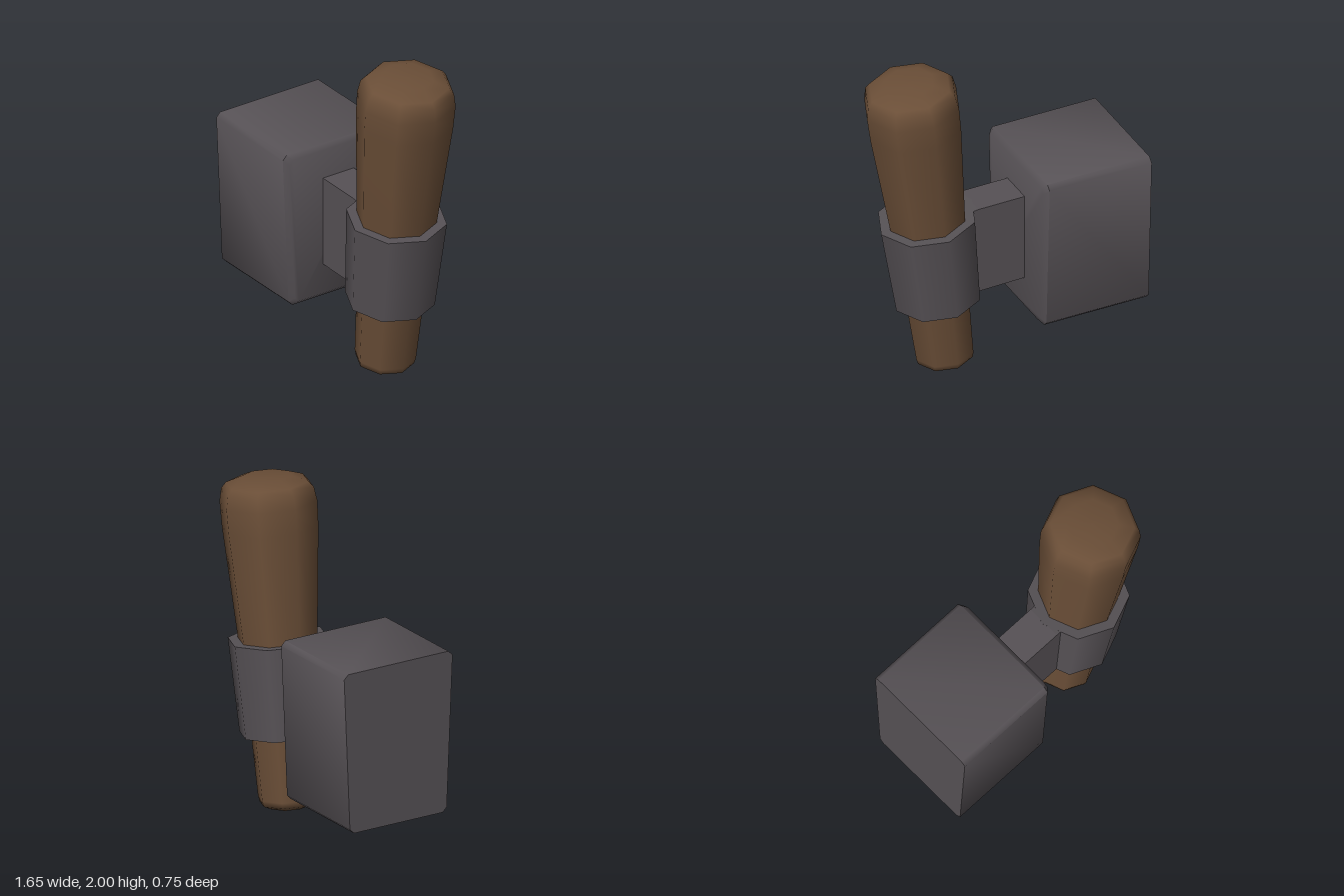
import * as THREE from 'three';
import { toCreasedNormals } from 'three/addons/utils/BufferGeometryUtils.js';

// Tapered rectangle with cut corners, as [y, z] pairs
function blockSection(inset) {
  const top = 1.27 - inset, bottom = 0.28 + inset, c = 0.028;
  const zt = 0.375 - inset, zb = 0.335 - inset;
  const half = [[bottom, zb - c], [bottom + c, zb], [top - c, zt], [top, zt - c]];
  return [...half, ...half.slice().reverse().map(([y, z]) => [y, -z])];
}

// Joins [x, inset] sections along x and closes both ends
function loftBlock(stations) {
  const pos = [], idx = [], n = 8;
  for (const [x, inset] of stations) for (const [y, z] of blockSection(inset)) pos.push(x, y, z);
  for (let s = 0; s < stations.length - 1; s++) {
    for (let i = 0; i < n; i++) {
      const a = s * n + i, b = s * n + (i + 1) % n;
      idx.push(a, a + n, b, b, a + n, b + n);
    }
  }
  const last = (stations.length - 1) * n;
  for (let i = 1; i < n - 1; i++) {
    idx.push(0, i, i + 1);
    idx.push(last, last + i + 1, last + i);
  }
  const g = new THREE.BufferGeometry();
  g.setAttribute('position', new THREE.Float32BufferAttribute(pos, 3));
  g.setIndex(idx);
  return toCreasedNormals(g, 0.9);
}

export function createModel() {
  const model = new THREE.Group();
  const iron = new THREE.MeshStandardMaterial({ color: 0x565155 });
  iron.name = 'dark iron';
  const wood = new THREE.MeshStandardMaterial({ color: 0x6a4e37 });
  wood.name = 'brown wood';

  const add = (parent, name, geometry, material) => {
    const mesh = new THREE.Mesh(geometry, material);
    mesh.name = name;
    parent.add(mesh);
    return mesh;
  };

  // Mounting block, bevelled on the side facing the arm
  add(model, 'mountingBlock', loftBlock([[-0.83, 0], [-0.168, 0], [-0.14, 0.028]]), iron);

  // Flat arm between block and collar
  const armShape = new THREE.Shape([
    [-0.16, 0.5], [0.19, 0.492], [0.21, 1.052], [0.16, 1.058], [-0.16, 1.06],
  ].map(([x, y]) => new THREE.Vector2(x, y)));
  const arm = new THREE.ExtrudeGeometry(armShape, { depth: 0.22, bevelEnabled: false });
  arm.translate(0, 0, -0.11);
  add(model, 'arm', arm, iron);

  // Collar and handle share one leaning axis
  const leaning = new THREE.Group();
  leaning.name = 'leaningHandle';
  leaning.position.set(0.32, 0.02, 0);
  leaning.rotation.z = -THREE.MathUtils.degToRad(6.8);
  model.add(leaning);

  const low = 0.448, high = 1.012;
  add(leaning, 'collar', new THREE.CylinderGeometry(0.296, 0.264, high - low, 8), iron)
    .position.y = (low + high) / 2;

  const profile = [
    [0, 0], [0.12, 0], [0.172, 0.026], [0.18, 0.06], [0.195, 0.4], [0.235, 1.0],
    [0.286, 1.68], [0.29, 1.83], [0.275, 1.91], [0.245, 1.945], [0.15, 1.98], [0, 1.982],
  ].map(([r, y]) => new THREE.Vector2(r, y));
  add(leaning, 'handle', new THREE.LatheGeometry(profile, 8), wood);

  return model;
}
